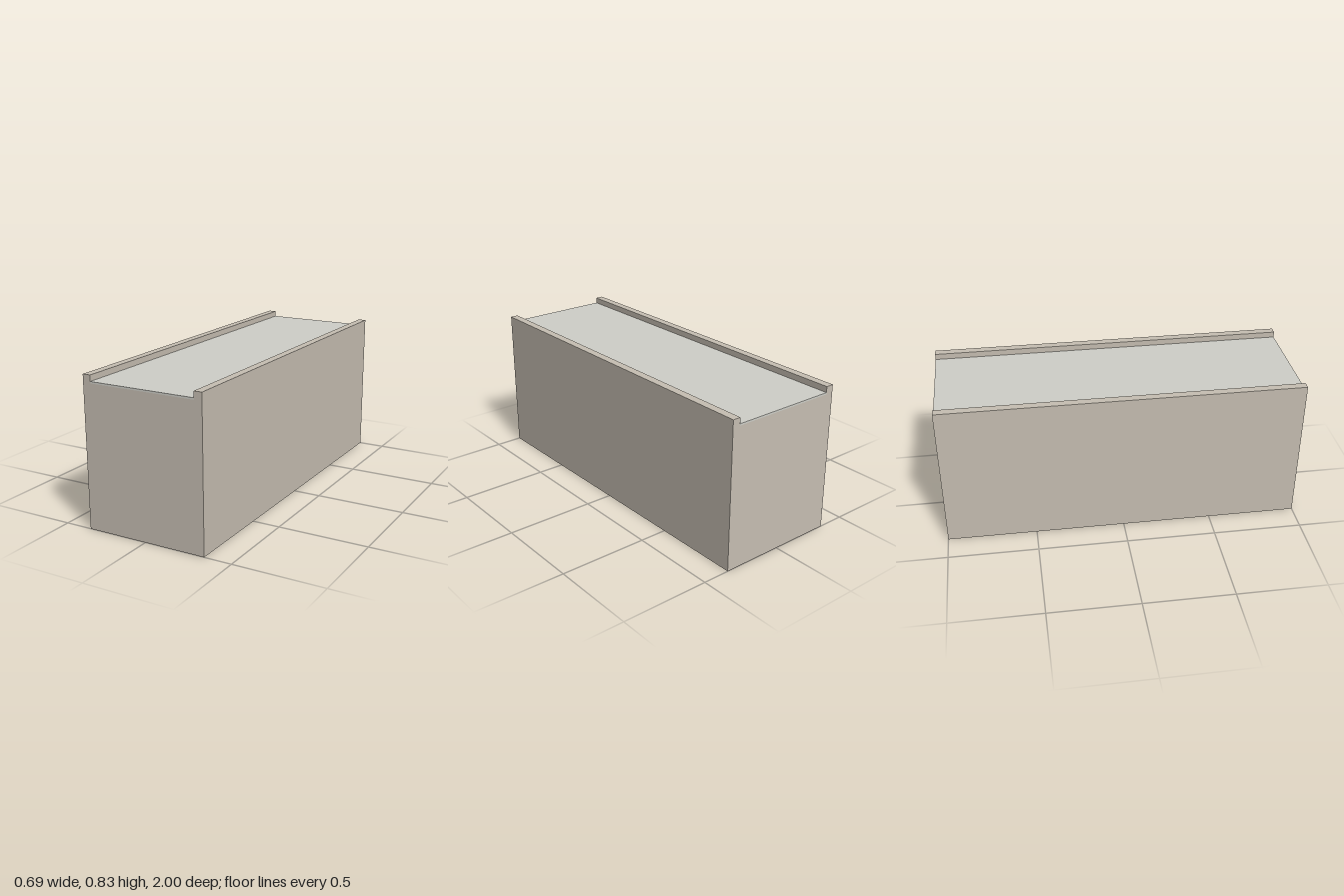
import * as THREE from 'three';

const WIDTH = 0.694, HEIGHT = 0.833, LENGTH = 2;
const WALL = 0.045;          // thickness of every wall
const PANEL_BOTTOM = 0.79, PANEL_TOP = 0.8;
const INNER = WIDTH - 2 * WALL;

export function createModel() {
  const group = new THREE.Group();
  const wallMaterial = new THREE.MeshStandardMaterial({ color: 0xc6beb2 });
  const panelMaterial = new THREE.MeshStandardMaterial({ color: 0xcfcfc8 });

  // Box standing on height y0, centred on x and z
  const addBox = (name, material, [w, h, d], x, y0, z) => {
    const mesh = new THREE.Mesh(new THREE.BoxGeometry(w, h, d), material);
    mesh.name = name;
    mesh.position.set(x, y0 + h / 2, z);
    group.add(mesh);
  };

  // Long side walls, rising above the top panel as rails
  for (const side of [-1, 1]) {
    addBox(side > 0 ? 'leftWall' : 'rightWall', wallMaterial,
      [WALL, HEIGHT, LENGTH], side * (WIDTH - WALL) / 2, 0, 0);
  }

  // End walls and dividers, evenly spaced to make three open-bottomed cells
  const names = ['backWall', 'backDivider', 'frontDivider', 'frontWall'];
  names.forEach((name, i) => {
    const z = (LENGTH - WALL) * (i / (names.length - 1) - 0.5);
    addBox(name, wallMaterial, [INNER, PANEL_BOTTOM, WALL], 0, 0, z);
  });

  // Thin top panel set between the rails
  addBox('topPanel', panelMaterial, [INNER, PANEL_TOP - PANEL_BOTTOM, LENGTH], 0, PANEL_BOTTOM, 0);

  return group;
}
